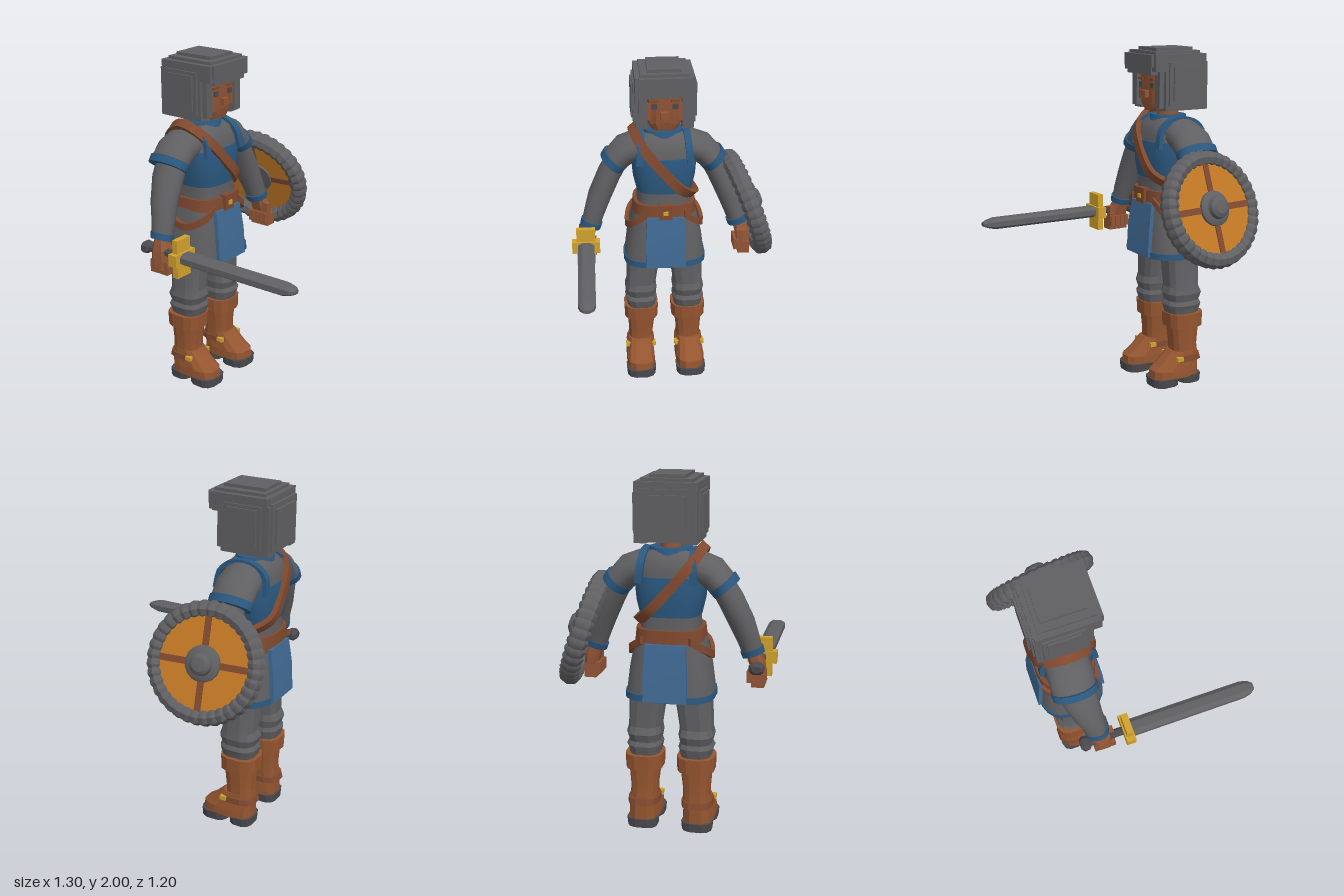
import * as THREE from 'three';
import { toCreasedNormals } from 'three/addons/utils/BufferGeometryUtils.js';

const material = (name, color) => Object.assign(new THREE.MeshStandardMaterial({ color }), { name });
const V = (x, y, z) => new THREE.Vector3(x, y, z);

// Skin over rings [x, y, z, halfU, halfV]; pow 1 is an ellipse, towards 0 a box.
function loft(rings, { n = 16, pow = 1, tilt = false, u = V(1, 0, 0), closed = false, crease = 0.7 } = {}) {
  const pos = [], idx = [], last = rings.length - 1;
  const soft = (v) => Math.sign(v) * Math.pow(Math.abs(v), pow);
  rings.forEach(([x, y, z, ru, rv], i) => {
    let t = V(0, Math.sign(rings[last][1] - rings[0][1]) || 1, 0);
    if (tilt) {
      const a = rings[i ? i - 1 : closed ? last - 1 : 0], b = rings[i < last ? i + 1 : closed ? 1 : last];
      t = V(b[0] - a[0], b[1] - a[1], b[2] - a[2]).normalize();
    }
    const v = u.clone().cross(t).normalize();
    for (let j = 0; j < n; j++) {
      const a = ((j + 0.5) / n) * Math.PI * 2;
      const p = V(x, y, z).addScaledVector(u, soft(Math.cos(a)) * ru).addScaledVector(v, soft(Math.sin(a)) * rv);
      pos.push(p.x, p.y, p.z);
    }
  });
  for (let i = 0; i < last; i++) for (let j = 0; j < n; j++) {
    const a = i * n + j, b = i * n + (j + 1) % n;
    idx.push(a, a + n, b, b, a + n, b + n);
  }
  if (!closed) for (let j = 1; j < n - 1; j++) {
    const e = last * n;
    idx.push(0, j, j + 1, e, e + j + 1, e + j);
  }
  const g = new THREE.BufferGeometry();
  g.setAttribute('position', new THREE.Float32BufferAttribute(pos, 3));
  g.setIndex(idx);
  return toCreasedNormals(g, crease);
}

// Flat strap along a smooth curve; u is the direction of its width.
function strap(points, u, width, thick, closed = false) {
  const curve = new THREE.CatmullRomCurve3(points.map((p) => V(...p)), closed);
  const rings = curve.getPoints(closed ? 40 : 16).map((p) => [p.x, p.y, p.z, width / 2, thick / 2]);
  return loft(rings, { n: 4, pow: 0, tilt: true, u, closed });
}

export function createModel() {
  const grey = material('greyClothAndSteel', 0x605f62), dark = material('darkGrey', 0x4a494d);
  const skin = material('skin', 0x925535), leather = material('bootLeather', 0x955530);
  const belt = material('beltLeather', 0x80492f), blue = material('blueTrim', 0x2b587f);
  const panel = material('bluePanel', 0x406a94), gold = material('gold', 0xd2a22c);
  const wood = material('shieldWood', 0xc67a26);

  const root = new THREE.Group();
  root.name = 'swordFighter';
  const body = new THREE.Group();
  body.name = 'body';
  body.position.z = 0.04;
  root.add(body);
  const add = (name, geo, mat, parent = body, x = 0, y = 0, z = 0) => {
    const m = new THREE.Mesh(geo, mat);
    m.name = name;
    m.position.set(x, y, z);
    parent.add(m);
    return m;
  };
  // Box given by its limits on each axis
  const box = (name, mat, [x0, x1], [y0, y1], [z0, z1], parent = body) =>
    add(name, new THREE.BoxGeometry(x1 - x0, y1 - y0, z1 - z0), mat, parent, (x0 + x1) / 2, (y0 + y1) / 2, (z0 + z1) / 2);
  const UP = V(0, 1, 0), boxy = { n: 24, pow: 0.65 };

  // Torso and skirt
  add('skirt', loft([[-0.35, 0.79, 0, 0.19, 0.245], [-0.35, 0.95, 0, 0.18, 0.225], [-0.35, 1.12, 0, 0.16, 0.19]], boxy), grey);
  add('skirtHem', loft([[-0.35, 0.78, 0, 0.198, 0.25], [-0.35, 0.815, 0, 0.196, 0.248]], boxy), blue);
  add('torso', loft([[-0.35, 1.1, 0, 0.155, 0.17], [-0.35, 1.22, 0, 0.145, 0.16], [-0.35, 1.36, 0, 0.15, 0.18],
    [-0.35, 1.5, 0, 0.145, 0.19], [-0.355, 1.56, 0, 0.125, 0.16], [-0.355, 1.6, 0, 0.09, 0.1]], boxy), grey);
  add('vest', loft([[-0.35, 1.245, 0, 0.153, 0.165], [-0.35, 1.33, 0, 0.162, 0.185], [-0.35, 1.41, 0, 0.163, 0.192],
    [-0.35, 1.46, 0, 0.156, 0.192]], boxy), blue);
  add('collar', loft([[-0.355, 1.565, 0, 0.115, 0.125], [-0.355, 1.61, 0, 0.1, 0.115]], { n: 20 }), blue);
  add('neck', loft([[-0.355, 1.57, 0, 0.07, 0.06], [-0.355, 1.7, 0, 0.065, 0.055]], { n: 12 }), skin);
  for (const f of [1, -1]) {
    add(f > 0 ? 'frontPanel' : 'backPanel', loft([[-0.35 + f * 0.193, 0.785, 0, 0.012, 0.12],
      [-0.35 + f * 0.184, 0.95, 0, 0.012, 0.12], [-0.35 + f * 0.163, 1.1, 0, 0.012, 0.11]], { n: 4, pow: 0 }), panel);
  }

  // Belt, buckle and shoulder strap
  add('belt', loft([[-0.35, 1.105, 0, 0.172, 0.192], [-0.35, 1.175, 0, 0.168, 0.185]], boxy), belt);
  box('bucklePlate', belt, [-0.2, -0.162], [1.095, 1.185], [-0.04, 0.04]);
  box('buckleStud', gold, [-0.17, -0.154], [1.125, 1.15], [-0.014, 0.014]);
  add('shoulderStrap', strap([[-0.355, 1.615, 0.18], [-0.225, 1.54, 0.135], [-0.18, 1.4, 0.02], [-0.19, 1.27, -0.1],
    [-0.35, 1.2, -0.182], [-0.51, 1.27, -0.1], [-0.52, 1.4, 0.02], [-0.485, 1.54, 0.135]],
  V(0, 0.65, -0.76), 0.055, 0.03, true), belt);

  for (const s of [1, -1]) {
    const side = s > 0 ? 'right' : 'left';
    const ring = (list) => list.map(([x, y, z, a, b]) => [x, y, z * s, a, b]);
    const limb = (name, list, mat, opt) => add(side + name, loft(ring(list), opt), mat);

    add(side + 'HipStrap', strap([[-0.19, 1.12, 0.11 * s], [-0.215, 1.06, 0.185 * s], [-0.33, 1.015, 0.225 * s],
      [-0.44, 1.06, 0.205 * s], [-0.51, 1.12, 0.13 * s]], UP, 0.042, 0.024), belt);
    add(side + 'VestStrap', strap([[-0.198, 1.43, 0.15 * s], [-0.22, 1.53, 0.14 * s], [-0.29, 1.585, 0.135 * s],
      [-0.42, 1.585, 0.135 * s], [-0.49, 1.53, 0.14 * s], [-0.502, 1.43, 0.15 * s]], V(0, 0, 1), 0.04, 0.026), blue);

    // Arm with short over-sleeve
    const round = { tilt: true, n: 18 };
    limb('Sleeve', [[-0.36, 1.5, 0.05, 0.11, 0.085], [-0.36, 1.51, 0.13, 0.122, 0.09],
      [-0.363, 1.475, 0.225, 0.126, 0.088], [-0.365, 1.405, 0.295, 0.122, 0.076]], grey, round);
    limb('SleeveTrim', [[-0.365, 1.425, 0.28, 0.131, 0.086], [-0.365, 1.39, 0.308, 0.129, 0.082]], blue, round);
    limb('Arm', [[-0.36, 1.46, 0.25, 0.1, 0.065], [-0.35, 1.33, 0.325, 0.1, 0.07], [-0.33, 1.2, 0.385, 0.083, 0.07],
      [-0.31, 1.1, 0.42, 0.07, 0.062], [-0.3, 1.02, 0.445, 0.06, 0.056]], grey, round);
    limb('WristTrim', [[-0.302, 1.05, 0.435, 0.071, 0.066], [-0.298, 1.015, 0.447, 0.067, 0.064]], blue, round);

    // Fist with four curled fingers and a thumb
    limb('Palm', [[-0.295, 1.03, 0.445, 0.04, 0.04], [-0.285, 0.97, 0.465, 0.058, 0.045],
      [-0.275, 0.86, 0.485, 0.058, 0.035]], skin, { n: 8, pow: 0.7, crease: 0.3 });
    for (let i = 0; i < 4; i++) {
      const x = -0.32 + i * 0.032, z = 0.475 * s;
      box(side + 'Finger', skin, [x - 0.014, x + 0.014], [0.835, 0.91], [z - 0.035, z + 0.035]);
      box(side + 'FingerTip', skin, [x - 0.014, x + 0.014], [0.86, 0.925], [0.43 * s - 0.016, 0.43 * s + 0.016]);
    }
    box(side + 'Thumb', skin, [-0.245, -0.207], [0.89, 0.985], [0.45 * s - 0.02, 0.45 * s + 0.02]);

    // Trousers, gathered above the boot
    const faceted = { n: 12, pow: 0.7, crease: 0.3 };
    limb('Trouser', [[-0.365, 0.4, 0.145, 0.085, 0.08], [-0.365, 0.46, 0.145, 0.105, 0.09], [-0.365, 0.49, 0.147, 0.112, 0.1],
      [-0.365, 0.515, 0.145, 0.1, 0.09], [-0.365, 0.56, 0.147, 0.115, 0.1], [-0.362, 0.6, 0.145, 0.1, 0.092],
      [-0.36, 0.82, 0.125, 0.105, 0.105]], grey, faceted);

    // Boot
    limb('BootShaft', [[-0.38, 0.13, 0.152, 0.085, 0.08], [-0.375, 0.24, 0.15, 0.08, 0.076],
      [-0.372, 0.38, 0.147, 0.092, 0.09]], leather, faceted);
    limb('BootCuff', [[-0.373, 0.352, 0.147, 0.11, 0.105], [-0.373, 0.438, 0.147, 0.114, 0.108]], leather, faceted);
    limb('BootFoot', [[-0.308, 0.045, 0.157, 0.158, 0.09], [-0.309, 0.095, 0.157, 0.155, 0.09],
      [-0.335, 0.13, 0.156, 0.13, 0.083], [-0.37, 0.2, 0.153, 0.09, 0.078]], leather, faceted);
    limb('AnkleStrap', [[-0.365, 0.14, 0.154, 0.118, 0.09], [-0.368, 0.175, 0.153, 0.105, 0.088]], belt, faceted);
    for (const e of [-1, 1]) {
      const z = 0.154 * s + e * 0.08;
      box(side + 'AnkleBuckle', gold, [-0.325, -0.285], [0.15, 0.175], [z - 0.014, z + 0.014]);
    }
    limb('Heel', [[-0.4, 0, 0.157, 0.07, 0.085], [-0.4, 0.05, 0.157, 0.073, 0.09]], dark, faceted);
    limb('Sole', [[-0.23, 0, 0.157, 0.085, 0.09], [-0.23, 0.05, 0.157, 0.088, 0.095]], dark, faceted);

    // Helmet side plates, each smaller and further out
    for (const [x0, x1, y0, y1, z] of [[-0.5, -0.2, 1.66, 1.9, 0.15], [-0.515, -0.23, 1.645, 1.92, 0.168],
      [-0.475, -0.25, 1.675, 1.92, 0.18], [-0.45, -0.275, 1.7, 1.9, 0.19]])
      box(side + 'HelmetPlate', grey, [x0, x1], [y0, y1], [Math.min(s * 0.1, s * z), Math.max(s * 0.1, s * z)]);
    box(side + 'Eye', dark, [-0.21, -0.2], [1.77, 1.8], [0.06 * s - 0.016, 0.06 * s + 0.016]);
    box(side + 'Brow', belt, [-0.21, -0.199], [1.812, 1.825], [0.06 * s - 0.024, 0.06 * s + 0.024]);
    box(side + 'Temple', skin, [-0.27, -0.215], [1.7, 1.8], [0.1 * s - 0.018, 0.1 * s + 0.018]);
  }

  // Face
  add('face', loft([[-0.31, 1.635, 0, 0.09, 0.075], [-0.31, 1.68, 0, 0.105, 0.1], [-0.31, 1.88, 0, 0.105, 0.11]],
    { n: 12, pow: 0.5, crease: 0.4 }), skin);
  box('nose', skin, [-0.22, -0.178], [1.715, 1.755], [-0.025, 0.025]);
  box('mouth', belt, [-0.211, -0.204], [1.678, 1.686], [-0.03, 0.03]);

  // Helmet crown, back and brim
  box('helmetCore', grey, [-0.51, -0.29], [1.65, 1.96], [-0.15, 0.15]);
  box('helmetBackPlate', grey, [-0.525, -0.4], [1.68, 1.93], [-0.14, 0.14]);
  box('helmetBackPanel', grey, [-0.538, -0.4], [1.71, 1.9], [-0.11, 0.11]);
  box('helmetCrown', grey, [-0.505, -0.16], [1.87, 1.965], [-0.17, 0.17]);
  box('helmetTopPlate', grey, [-0.48, -0.175], [1.93, 1.982], [-0.14, 0.14]);
  box('helmetTopPanel', grey, [-0.455, -0.21], [1.95, 2], [-0.097, 0.097]);
  box('helmetBrim', grey, [-0.24, -0.145], [1.895, 1.965], [-0.15, 0.15]);
  box('helmetBrimLip', grey, [-0.24, -0.155], [1.85, 1.9], [-0.13, 0.13]);

  // Sword, lying along x
  const sword = new THREE.Group();
  sword.name = 'sword';
  sword.position.set(0, 0.96, 0.515);
  root.add(sword);
  const along = { tilt: true, u: UP, n: 8, pow: 0.8, crease: 0.3 };
  add('blade', loft([[-0.12, 0, 0, 0.035, 0.052], [0.57, 0, 0, 0.034, 0.051], [0.615, 0, 0, 0.022, 0.04],
    [0.64, 0, 0, 0.012, 0.02]], along), grey, sword);
  add('grip', loft([[-0.37, 0, 0, 0.022, 0.024], [-0.12, 0, 0, 0.022, 0.024]], along), dark, sword);
  add('pommel', loft([[-0.412, 0, 0, 0.02, 0.025], [-0.395, 0, 0, 0.035, 0.045], [-0.365, 0, 0, 0.033, 0.042],
    [-0.35, 0, 0, 0.022, 0.025]], along), dark, sword);
  box('guard', gold, [-0.15, -0.115], [-0.112, 0.112], [-0.055, 0.055], sword);
  box('guardBlock', gold, [-0.158, -0.103], [-0.035, 0.035], [-0.082, 0.082], sword);

  // Round shield, its local y axis pointing outward
  const shield = new THREE.Group();
  shield.name = 'shield';
  shield.position.set(-0.325, 1.125, -0.45);
  shield.quaternion.setFromUnitVectors(UP, V(-0.11, 0.32, -0.94).normalize());
  root.add(shield);
  add('shieldBoard', new THREE.CylinderGeometry(0.28, 0.28, 0.03, 32), wood, shield, 0, 0.015);
  // Wrapped rim: a ring whose section swells in notches
  const rim = new THREE.TorusGeometry(0.288, 0.05, 8, 108);
  rim.rotateX(Math.PI / 2);
  const p = rim.attributes.position;
  for (let i = 0; i < p.count; i++) {
    const q = V(p.getX(i), 0, p.getZ(i)), r = q.length();
    const swell = [0.86, 1, 0.97][(i % 109) % 3];
    q.setLength(0.288 + (r - 0.288) * swell);
    p.setXYZ(i, q.x, p.getY(i) * 1.2 * swell, q.z);
  }
  add('shieldRim', toCreasedNormals(rim, 0.5), grey, shield);
  for (let i = 0; i < 2; i++) {
    const spoke = add('shieldSpoke', new THREE.BoxGeometry(0.54, 0.042, 0.036), belt, shield, 0, 0.015);
    spoke.rotation.y = i * Math.PI / 2 + 0.12;
  }
  const boss = [[0, -0.015], [0.1, -0.015], [0.1, 0.045], [0.085, 0.055], [0.065, 0.06], [0.06, 0.085], [0.04, 0.1], [0, 0.105]];
  add('shieldBoss', toCreasedNormals(new THREE.LatheGeometry(boss.map(([x, y]) => new THREE.Vector2(x, y)), 16), 0.5), grey, shield);
  return root;
}
